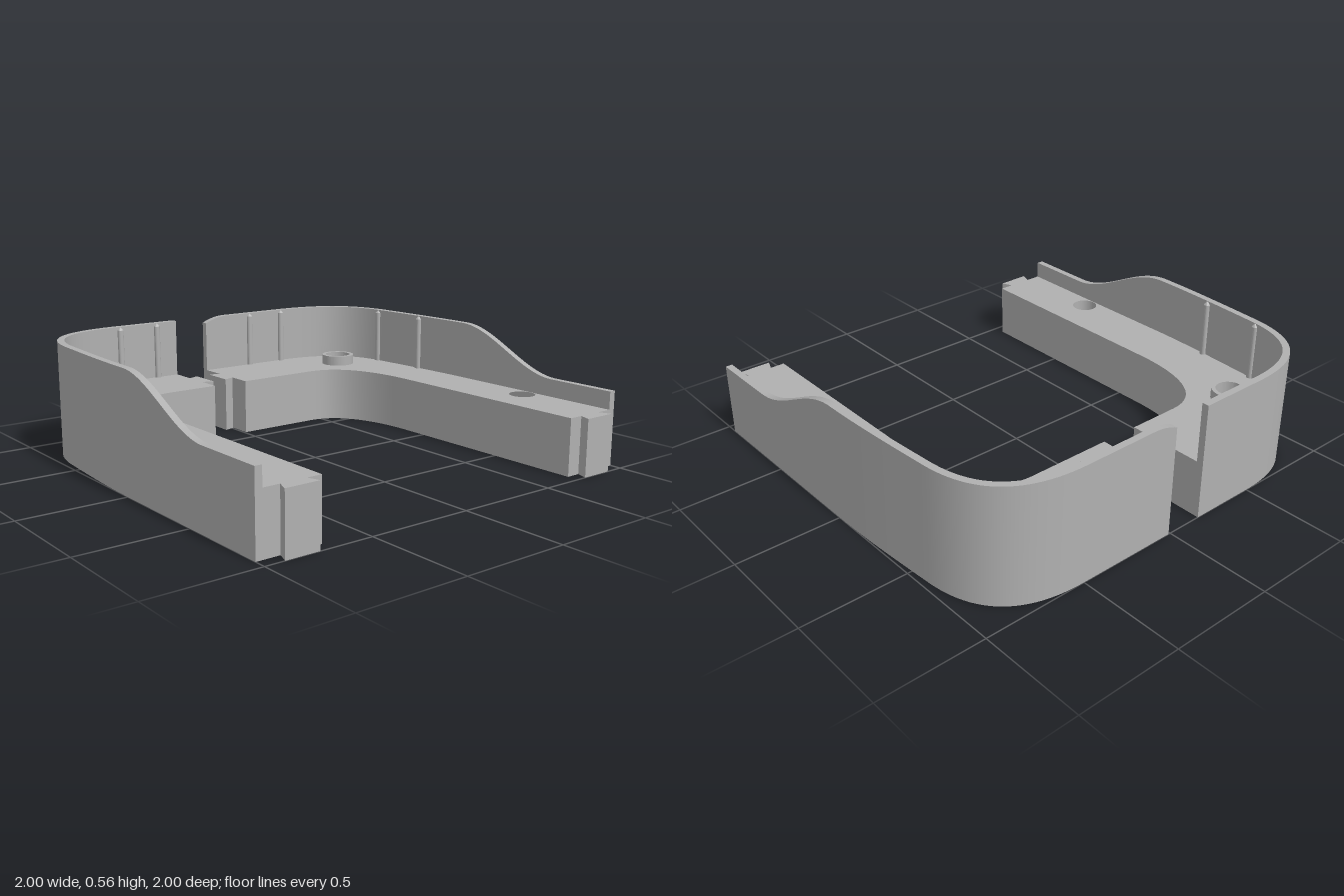
import * as THREE from 'three';
import { toCreasedNormals } from 'three/addons/utils/BufferGeometryUtils.js';

const BASE_H = 0.27, WALL_H = 0.555, WALL_T = 0.033, FRONT_Z = 0.945;
const V = (x, z) => new THREE.Vector2(x, z);
const gray = new THREE.MeshStandardMaterial({ color: 0xb0b0b0 });
gray.name = 'gray plastic';

function addMesh(parent, geometry, name) {
  const mesh = new THREE.Mesh(geometry, gray);
  mesh.name = name;
  parent.add(mesh);
  return mesh;
}

// Outer edge in plan (x, z), from the back end round the corner to the front
function outerPath(endX) {
  const curves = [
    [new THREE.LineCurve(V(endX, -1), V(0.5, -1)), 24],
    [new THREE.CubicBezierCurve(V(0.5, -1), V(0.8, -1), V(0.95, -0.87), V(0.97, -0.6)), 24],
    [new THREE.CubicBezierCurve(V(0.97, -0.6), V(0.983, -0.42), V(1, -0.2), V(1, 0)), 12],
    [new THREE.LineCurve(V(1, 0), V(1, FRONT_Z)), 40],
  ];
  return curves.flatMap(([c, n], i) => c.getPoints(n).slice(i ? 1 : 0));
}

// Path moved inwards by the wall thickness
function insetPath(path) {
  return path.map((p, i) => {
    const a = path[Math.max(i - 1, 0)], b = path[Math.min(i + 1, path.length - 1)];
    const t = b.clone().sub(a).normalize();
    return V(p.x - t.y * WALL_T, p.y + t.x * WALL_T);
  });
}

// Wall top: slopes down towards the front, eased at the inner back end
function wallTop(x, z) {
  const slope = THREE.MathUtils.smoothstep(z, 0, 0.6) * 0.2;
  const ease = z < -0.9 ? 0.03 * (Math.max(0, 0.14 - x) / 0.13) ** 2 : 0;
  return WALL_H - slope - ease;
}

function wallGeometry(outer, inner, side) {
  const pos = [], idx = [];
  outer.forEach((o, i) => {
    const n = inner[i], h = wallTop(o.x, o.y);
    pos.push(side * o.x, 0, o.y, side * o.x, h, o.y, side * n.x, h, n.y, side * n.x, 0, n.y);
  });
  const tri = (a, b, c) => (side > 0 ? idx.push(a, b, c) : idx.push(a, c, b));
  const last = 4 * (outer.length - 1);
  for (let r = 0; r < last; r += 4) {
    for (let k = 0; k < 4; k++) {
      const a = r + k, b = r + (k + 1) % 4;
      tri(a, b, a + 4);
      tri(b, b + 4, a + 4);
    }
  }
  tri(0, 2, 1); tri(0, 3, 2);
  tri(last, last + 1, last + 2); tri(last, last + 2, last + 3);
  const g = new THREE.BufferGeometry();
  g.setAttribute('position', new THREE.Float32BufferAttribute(pos, 3));
  g.setIndex(idx);
  return toCreasedNormals(g, 0.5);
}

// Plan shapes are drawn as (x, -z) and raised upwards
function raise(shape, height, y = 0) {
  const g = new THREE.ExtrudeGeometry(shape, { depth: height, bevelEnabled: false, curveSegments: 32 });
  g.rotateX(-Math.PI / 2).translate(0, y, 0);
  return toCreasedNormals(g, 0.5);
}

const circle = (x, z, r) => new THREE.Path().absarc(x, -z, r, 0, Math.PI * 2, true);

function buildHalf(side, endX, name) {
  const half = new THREE.Group();
  half.name = name;
  const outer = outerPath(endX), inner = insetPath(outer);

  // Base with dovetail tongues at both ends and two through holes
  const bend = new THREE.CubicBezierCurve(V(0.7, -0.13), V(0.7, -0.4), V(0.62, -0.6), V(0.43, -0.6));
  const outline = [
    ...inner,
    V(0.89, FRONT_Z), V(0.91, 1), V(0.75, 1), V(0.77, FRONT_Z), V(0.7, FRONT_Z),
    ...bend.getPoints(24),
    V(endX, -0.6), V(endX, -0.72), V(endX - 0.055, -0.7), V(endX - 0.055, -0.86), V(endX, -0.84),
  ];
  const plan = new THREE.Shape(outline.map((p) => V(side * p.x, -p.y)));
  plan.holes.push(circle(side * 0.7, -0.7, 0.065), circle(side * 0.9, 0.48, 0.063));
  addMesh(half, raise(plan, BASE_H), 'base');

  addMesh(half, wallGeometry(outer, inner, side), 'outerWall');

  // Raised ring round the corner hole
  const ring = new THREE.Shape().absarc(side * 0.7, 0.7, 0.085, 0, Math.PI * 2, false);
  ring.holes.push(circle(side * 0.7, -0.7, 0.065));
  addMesh(half, raise(ring, 0.05, BASE_H), 'holeCollar');

  // Slim upright ribs with tapered tops on the inside of the wall
  const ribProfile = [V(0.016, 0), V(0.016, 0.268), V(0.004, 0.282), V(0, 0.282)];
  for (const [x, z] of [[0.29, -0.967], [0.5, -0.966], [0.935, -0.63], [0.953, -0.32]]) {
    const g = toCreasedNormals(new THREE.LatheGeometry(ribProfile, 16), 0.6);
    addMesh(half, g, 'wallRib').position.set(side * x, BASE_H, z);
  }
  return half;
}

export function createModel() {
  const model = new THREE.Group();
  model.name = 'splitTray';
  model.add(buildHalf(1, 0.01, 'leftHalf'), buildHalf(-1, 0.175, 'rightHalf'));
  return model;
}
